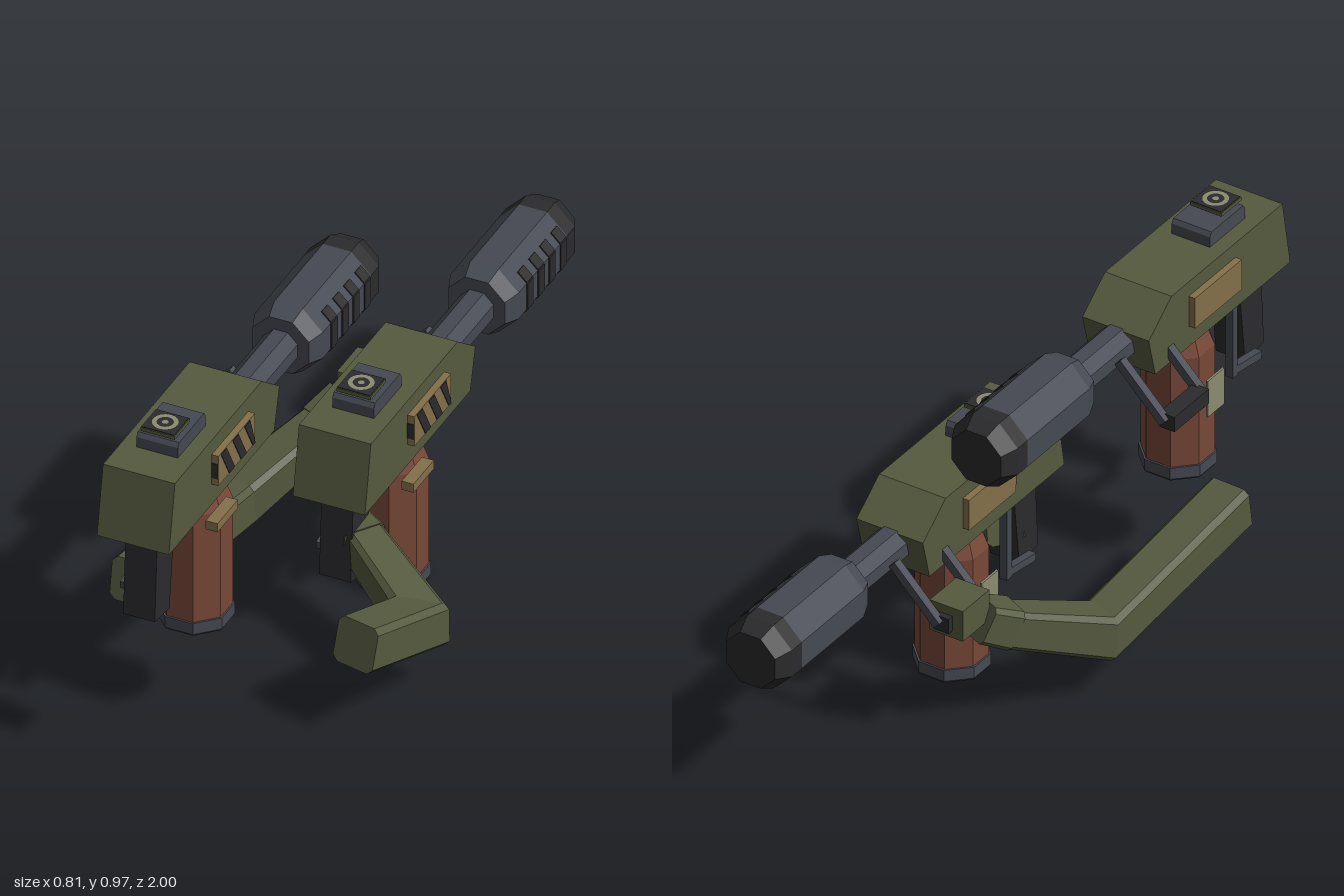
import * as THREE from 'three';

const mat = (name, color) => {
  const m = new THREE.MeshStandardMaterial({ color });
  m.name = name;
  return m;
};

export function createModel() {
  const olive = mat('olive', 0x555a3f);
  const steel = mat('blueGrey', 0x454952);
  const dark = mat('charcoal', 0x2b2b2d);
  const rust = mat('rustRed', 0x784838);
  const tan = mat('tan', 0x84704a);
  const cream = mat('paleSage', 0x8c8c70);

  // Adds a mesh with hard-edged faces
  function add(parent, name, geometry, material) {
    const g = geometry.index ? geometry.toNonIndexed() : geometry;
    g.computeVertexNormals();
    const mesh = new THREE.Mesh(g, material);
    mesh.name = name;
    parent.add(mesh);
    return mesh;
  }
  const box = (parent, name, material, size, pos) => {
    const m = add(parent, name, new THREE.BoxGeometry(...size), material);
    m.position.set(...pos);
    return m;
  };
  // Extrudes a side outline of [z, y] points across x, centred on x
  function side(points, width, x = 0) {
    const shape = new THREE.Shape(points.map(p => new THREE.Vector2(...p)));
    return new THREE.ExtrudeGeometry(shape, { depth: width, bevelEnabled: false })
      .rotateY(-Math.PI / 2).translate(x + width / 2, 0, 0);
  }
  // Octagonal turned part; radii are measured to the flats
  function octagon(profile) {
    const pts = profile.map(([r, y]) => new THREE.Vector2(r / Math.cos(Math.PI / 8), y));
    return new THREE.LatheGeometry(pts, 8, Math.PI / 8);
  }
  // Octagonal part along z, profile as [radius, -z]
  const alongZ = (profile, y) => octagon(profile).rotateX(-Math.PI / 2).translate(0, y, 0);
  // Square bar between two points
  function beam(parent, name, material, a, b, w) {
    const p = new THREE.Vector3(...a), q = new THREE.Vector3(...b);
    const m = add(parent, name, new THREE.BoxGeometry(w, w, p.distanceTo(q)), material);
    m.position.copy(p).add(q).multiplyScalar(0.5);
    m.lookAt(q);
    return m;
  }
  // Chamfered square limb swept through points, mitred at each joint
  function limb(points, sizes) {
    const P = points.map(p => new THREE.Vector3(...p));
    const dirs = P.slice(1).map((p, i) => p.clone().sub(P[i]).normalize());
    const right = new THREE.Vector3().crossVectors(dirs[0], new THREE.Vector3(0, 1, 0)).normalize();
    const up = new THREE.Vector3().crossVectors(right, dirs[0]);
    const h = 0.5, c = 0.38;
    const outline = [[h, -c], [h, c], [c, h], [-c, h], [-h, c], [-h, -c], [-c, -h], [c, -h]];
    let offs = outline.map(([a, b]) =>
      right.clone().multiplyScalar(a * sizes[0]).addScaledVector(up, b * sizes[0]));
    const rings = [offs.map(o => o.clone().add(P[0]))];
    for (let i = 1; i < P.length; i++) {
      const d = dirs[i - 1], n = d.clone().add(dirs[i] || d).normalize();
      offs = offs.map(o => {
        const v = o.clone().multiplyScalar(sizes[i] / sizes[i - 1]);
        return v.addScaledVector(d, -n.dot(v) / n.dot(d));
      });
      rings.push(offs.map(o => o.clone().add(P[i])));
    }
    const pos = [];
    const tri = (...v) => v.forEach(p => pos.push(p.x, p.y, p.z));
    const last = rings.length - 1;
    for (let j = 0; j < 8; j++) {
      const k = (j + 1) % 8;
      for (let i = 0; i < last; i++) {
        const A = rings[i], B = rings[i + 1];
        tri(A[j], B[k], B[j]);
        tri(A[j], A[k], B[k]);
      }
      tri(P[0], rings[0][k], rings[0][j]);
      tri(P[last], rings[last][j], rings[last][k]);
    }
    // Make the winding face outward whatever the sweep direction
    const e1 = rings[0][1].clone().sub(rings[0][0]);
    const e2 = rings[1][1].clone().sub(rings[0][0]);
    const out = rings[0][0].clone().add(rings[0][1]).multiplyScalar(0.5).sub(P[0]);
    if (e1.cross(e2).dot(out) < 0) {
      for (let i = 0; i < pos.length; i += 9)
        for (let j = 3; j < 6; j++) [pos[i + j], pos[i + j + 3]] = [pos[i + j + 3], pos[i + j]];
    }
    const g = new THREE.BufferGeometry();
    g.setAttribute('position', new THREE.Float32BufferAttribute(pos, 3));
    return g;
  }

  function launcher(name) {
    const g = new THREE.Group();
    g.name = name;
    // Receiver and grip
    add(g, 'receiver', side([[0.965, 0.903], [1, 0.708], [0.39, 0.708], [0.36, 0.825], [0.463, 0.903]], 0.2), olive);
    add(g, 'grip', side([[0.95, 0.72], [0.965, 0.465], [0.88, 0.455], [0.85, 0.72]], 0.088), dark);

    // Barrel and muzzle drum
    add(g, 'barrel', alongZ([[0, -0.4], [0.047, -0.4], [0.047, -0.13], [0, -0.13]], 0.782), steel);
    add(g, 'muzzleDrum', alongZ([[0, -0.145], [0.078, -0.145], [0.095, -0.1], [0.095, 0.18], [0, 0.18]], 0.785), steel);
    add(g, 'muzzleCap', alongZ([[0, 0.18], [0.095, 0.18], [0.095, 0.225], [0.074, 0.27], [0, 0.27]], 0.785), dark);
    for (const z of [0.037, -0.027, -0.09, -0.155]) {
      for (const [turn, h, shift] of [[0, 0.078, 0], [1, 0.036, -0.02], [-1, 0.036, 0.02]]) {
        const vent = new THREE.BoxGeometry(0.006, h, 0.034).translate(0.0955, shift, 0)
          .rotateZ(turn * Math.PI / 4).translate(0, 0.785, z);
        add(g, 'drumVent', vent, dark);
      }
    }

    // Canister magazine with base and side tag
    add(g, 'canister', octagon([[0, 0.315], [0.088, 0.315], [0.088, 0.635], [0.058, 0.72], [0, 0.72]])
      .translate(0, 0, 0.641), rust);
    add(g, 'canisterBase', octagon([[0, 0.275], [0.088, 0.275], [0.093, 0.282], [0.093, 0.315], [0, 0.315]])
      .translate(0, 0, 0.641), steel);
    box(g, 'canisterTag', cream, [0.006, 0.108, 0.075], [-0.1, 0.505, 0.66]);

    // Sight block with a ringed top plate
    add(g, 'sightBlock', side([[0.86, 0.895], [0.7, 0.895], [0.7, 0.933], [0.708, 0.945], [0.852, 0.945], [0.86, 0.933]], 0.115), steel);
    box(g, 'sightPlate', olive, [0.095, 0.01, 0.09], [0, 0.959, 0.813]);
    box(g, 'sightInset', dark, [0.09, 0.002, 0.085], [0, 0.965, 0.813]);
    add(g, 'sightRing', new THREE.RingGeometry(0.022, 0.034, 16).rotateX(-Math.PI / 2).translate(0, 0.967, 0.813), cream);
    add(g, 'sightDot', new THREE.CircleGeometry(0.009, 8).rotateX(-Math.PI / 2).translate(0, 0.967, 0.813), cream);

    // Side plates with hazard stripes
    for (const s of [-1, 1]) {
      box(g, 'sidePlate', tan, [0.02, 0.09, 0.212], [s * 0.109, 0.815, 0.647]);
      box(g, 'plateEdge', dark, [0.019, 0.045, 0.003], [s * 0.109, 0.813, 0.7535]);
    }
    for (const z of [0.74, 0.672, 0.604]) {
      add(g, 'hazardStripe', side([[z, 0.858], [z - 0.048, 0.772], [z - 0.08, 0.772], [z - 0.032, 0.858]]
        .map(([a, b]) => [Math.max(a, 0.542), b]), 0.003, 0.1195), dark);
    }
    box(g, 'boltHandle', tan, [0.033, 0.026, 0.118], [0.123, 0.678, 0.742]);

    // Trigger bars
    beam(g, 'triggerBar', steel, [-0.08, 0.72, 0.765], [-0.08, 0.49, 0.765], 0.022);
    beam(g, 'triggerFoot', steel, [-0.08, 0.508, 0.765], [-0.08, 0.49, 0.885], 0.022);

    // Angled side handle
    for (const z of [0.46, 0.298])
      beam(g, 'handleStrut', steel, [-0.055, 0.785, z], [-0.19, 0.65, z], 0.024);
    box(g, 'sideHandle', dark, [0.046, 0.044, 0.155], [-0.193, 0.648, 0.38]);
    return g;
  }

  const model = new THREE.Group();
  model.name = 'twinLaunchersWithArms';
  const front = launcher('frontLauncher');
  front.position.set(-0.137, 0, 0);
  const rear = launcher('rearLauncher');
  rear.position.set(0.057, -0.275, -0.73);
  model.add(front, rear);

  // Arms: shoulder, elbow, wrist
  add(model, 'leftArm', limb([[0.28, 0.268, 0.58], [0.335, 0.2, 0.325], [0.1, 0.282, 0.17]], [0.125, 0.125, 0.1]), olive);
  add(model, 'leftHand', limb([[0.11, 0.275, 0.18], [0.045, 0.29, 0.135]], [0.115, 0.1]), olive);
  add(model, 'rightArm', limb([[-0.345, 0.265, 0.57], [-0.325, 0.18, 0.01], [-0.185, 0.3, -0.26]], [0.122, 0.12, 0.1]), olive);
  add(model, 'rightCuff', limb([[-0.2, 0.287, -0.225], [-0.165, 0.33, -0.3]], [0.112, 0.105]), olive);
  box(model, 'rightHand', olive, [0.1, 0.09, 0.12], [-0.14, 0.375, -0.35]);
  return model;
}
